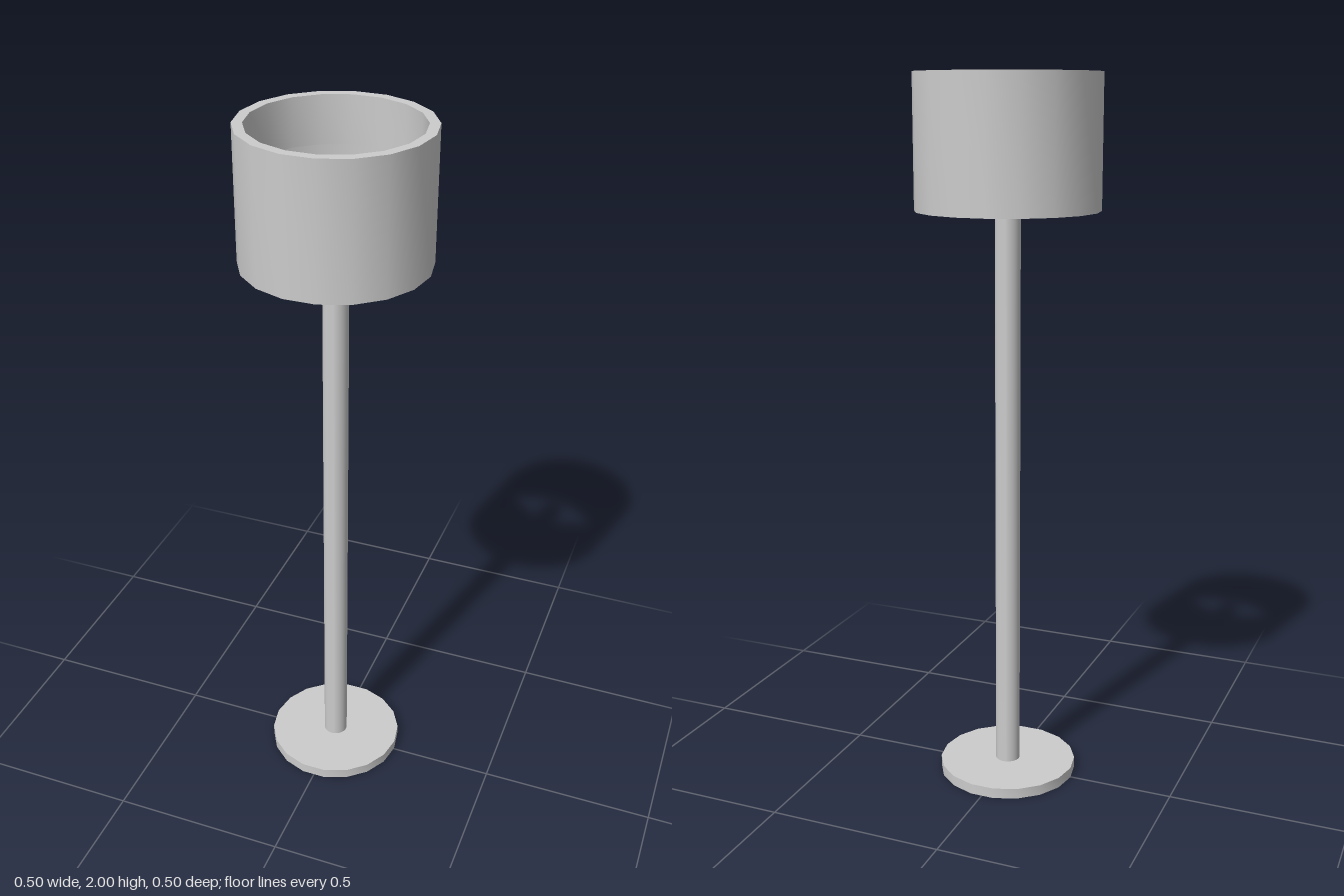
import * as THREE from 'three';
import { toCreasedNormals } from 'three/addons/utils/BufferGeometryUtils.js';

const SIDES = 18;

export function createModel() {
  const group = new THREE.Group();
  const grey = new THREE.MeshStandardMaterial({ color: 0xcccccc });
  const greyThin = new THREE.MeshStandardMaterial({ color: 0xcccccc, side: THREE.DoubleSide });

  // Revolve a [radius, height] profile, with a corner on the x axis
  const turned = (name, profile, sides, material, x = 0, z = 0) => {
    const points = profile.map(([r, y]) => new THREE.Vector2(r, y));
    const lathe = new THREE.LatheGeometry(points, sides, Math.PI / 2);
    const mesh = new THREE.Mesh(toCreasedNormals(lathe, 0.6), material);
    mesh.name = name;
    mesh.position.set(x, 0, z);
    group.add(mesh);
  };

  // Foot plate and pole sit very slightly off the shade's centre
  const cx = -0.0015, cz = -0.003;
  turned('base', [[0, 0], [0.198, 0], [0.198, 0.03], [0, 0.03]], SIDES, grey, cx, cz);
  turned('pole', [[0.035, 0.03], [0.035, 1.83], [0, 1.83]], 32, grey, cx, cz);

  // Open drum shade whose rims fold inward at the top and bottom
  turned('shade', [
    [0.225, 1.75], [0.225, 1.64], [0.2525, 1.64],
    [0.2525, 2], [0.225, 2], [0.225, 1.87],
  ], SIDES, greyThin);

  return group;
}
